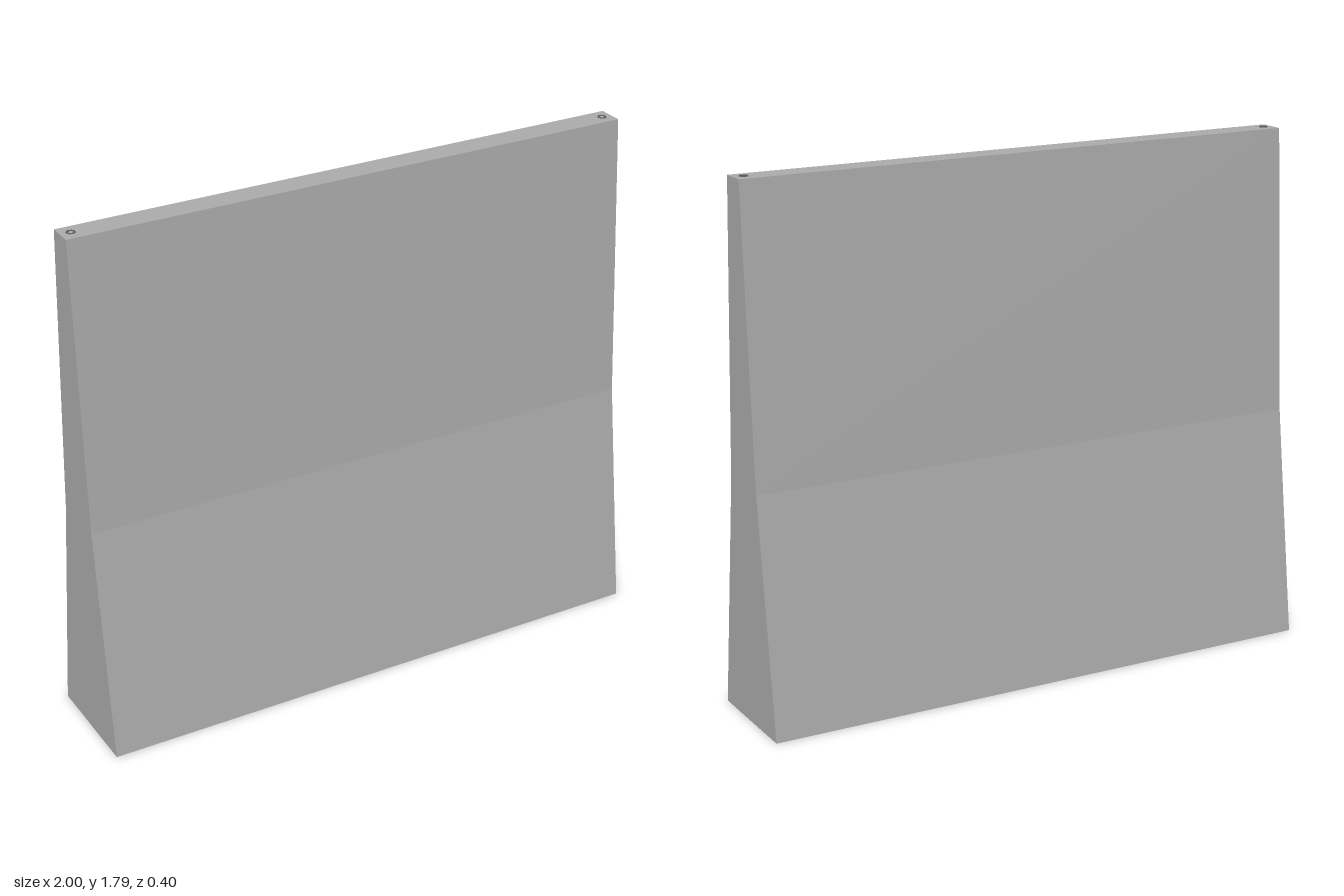
import * as THREE from 'three';

export function createModel() {
  const group = new THREE.Group();
  const concrete = new THREE.MeshStandardMaterial({ color: 0xaaaaaa });
  concrete.name = 'concrete grey';
  const steel = new THREE.MeshStandardMaterial({ color: 0x55555a });
  steel.name = 'dark steel';

  const height = 1.79;

  // Barrier body: tapered symmetric profile extruded along the length
  const half = [[0.2, 0], [0.1, 0.8], [0.045, height]];
  const outline = [...half, ...half.map(([z, y]) => [-z, y]).reverse()];
  const shape = new THREE.Shape(outline.map(([z, y]) => new THREE.Vector2(z, y)));
  const bodyGeometry = new THREE.ExtrudeGeometry(shape, { depth: 2, bevelEnabled: false });
  bodyGeometry.translate(0, 0, -1).rotateY(Math.PI / 2);
  const body = new THREE.Mesh(bodyGeometry, concrete);
  body.name = 'barrierBody';
  group.add(body);

  // Small rings set into the top, one near each end
  const ringGeometry = new THREE.TorusGeometry(0.012, 0.003, 8, 20).rotateX(Math.PI / 2);
  for (const side of [-1, 1]) {
    const ring = new THREE.Mesh(ringGeometry, steel);
    ring.name = side > 0 ? 'leftTopRing' : 'rightTopRing';
    ring.position.set(side * 0.965, height, 0);
    group.add(ring);
  }
  return group;
}
